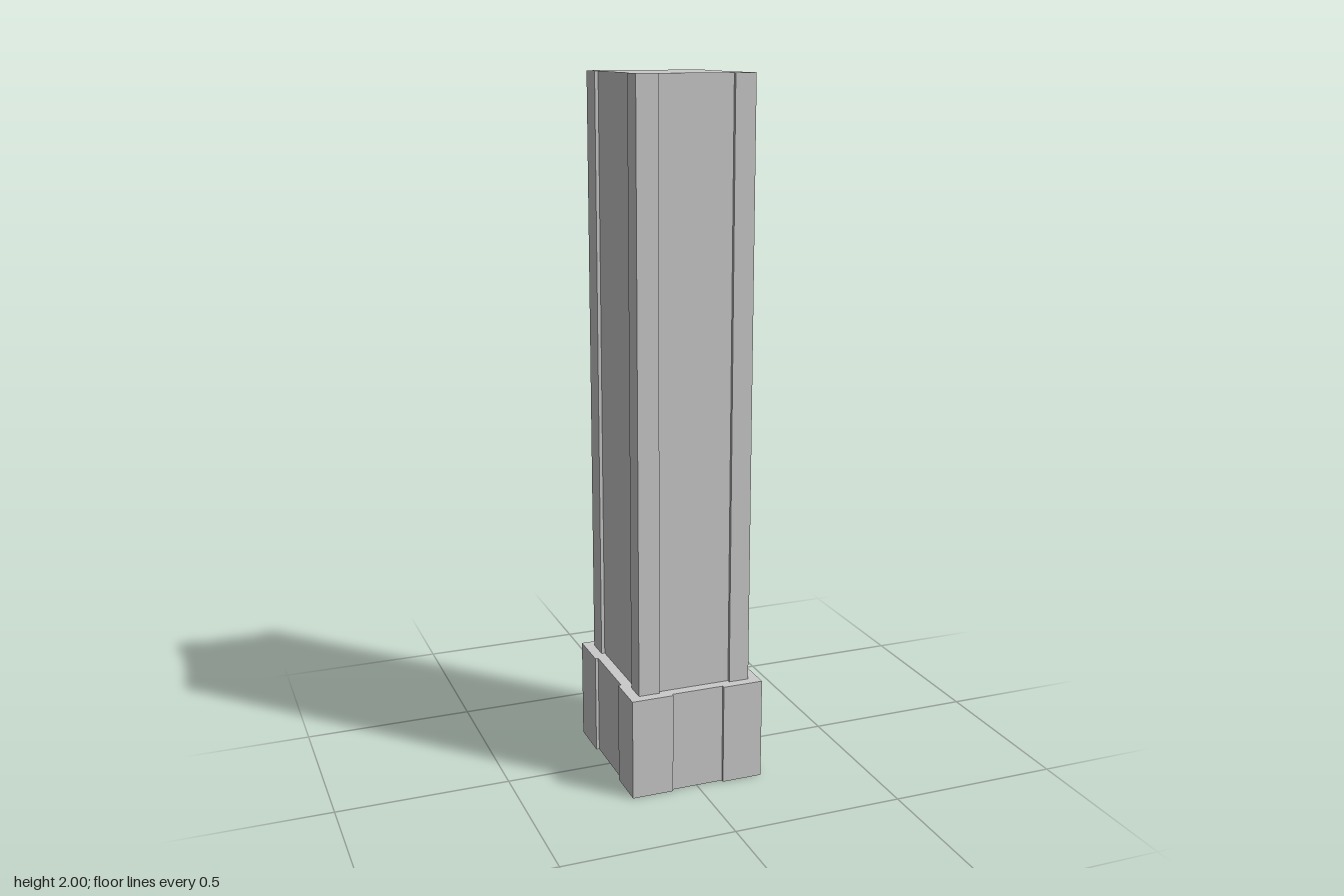
import * as THREE from 'three';

const material = new THREE.MeshStandardMaterial({ color: 0xcccccc, flatShading: true });

// Rectangular block with a shallow full-height recess in each of its four faces.
// Recess ranges: front and back run along x, sides runs along z.
function recessedBlock(name, { x0, x1, z0, z1, depth, front, back, sides, bottom, top }) {
  const plan = [
    [x0, z1], [front[0], z1], [front[0], z1 - depth], [front[1], z1 - depth], [front[1], z1],
    [x1, z1], [x1, sides[1]], [x1 - depth, sides[1]], [x1 - depth, sides[0]], [x1, sides[0]],
    [x1, z0], [back[1], z0], [back[1], z0 + depth], [back[0], z0 + depth], [back[0], z0],
    [x0, z0], [x0, sides[0]], [x0 + depth, sides[0]], [x0 + depth, sides[1]], [x0, sides[1]],
  ];
  const shape = new THREE.Shape(plan.map(([x, z]) => new THREE.Vector2(x, -z)));
  const geometry = new THREE.ExtrudeGeometry(shape, { depth: top - bottom, bevelEnabled: false });
  geometry.rotateX(-Math.PI / 2).translate(0, bottom, 0);
  const mesh = new THREE.Mesh(geometry, material);
  mesh.name = name;
  return mesh;
}

export function createModel() {
  const model = new THREE.Group();
  model.name = 'towerBlock';

  // Wide base
  model.add(recessedBlock('podium', {
    x0: -0.198, x1: 0.198, z0: -0.229, z1: 0.227, depth: 0.009,
    front: [-0.076, 0.079], back: [-0.068, 0.08], sides: [-0.1, 0.106],
    bottom: 0, top: 0.296,
  }));

  // Tall shaft standing on the base
  model.add(recessedBlock('tower', {
    x0: -0.168, x1: 0.167, z0: -0.2, z1: 0.198, depth: 0.01,
    front: [-0.106, 0.108], back: [-0.098, 0.111], sides: [-0.13, 0.134],
    bottom: 0.296, top: 2,
  }));

  return model;
}
